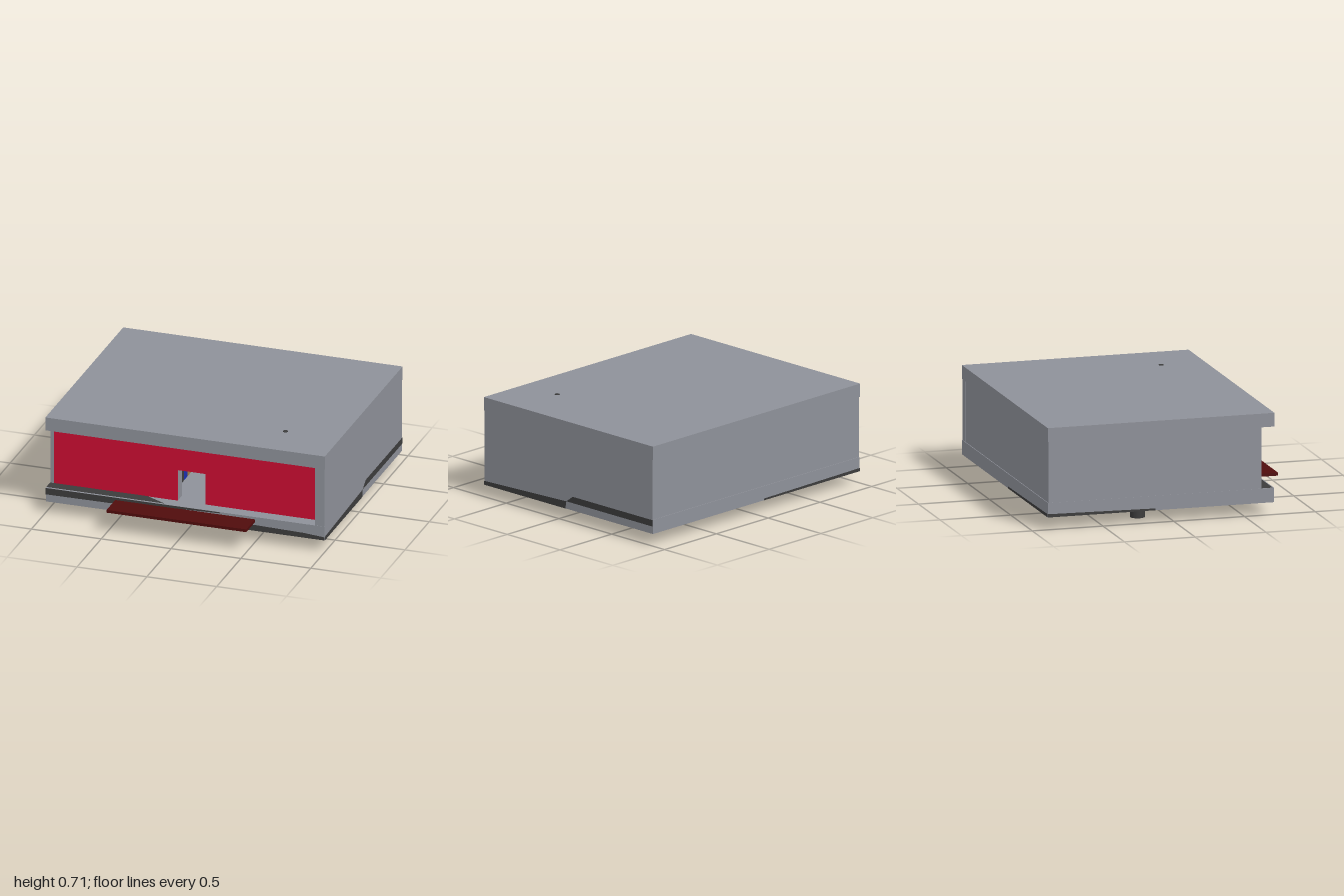
import * as THREE from 'three';

const mat = (name, color, side = THREE.FrontSide) => {
  const m = new THREE.MeshStandardMaterial({ color, side });
  m.name = name;
  return m;
};

export function createModel() {
  const grey = mat('wall grey', 0x8e9199);
  const red = mat('facade red', 0xcb0d32);
  const maroon = mat('step maroon', 0x500c0c);
  const dark = mat('charcoal', 0x3c3c3c);
  const blue = mat('board blue', 0x1a2fb0);
  const tan = mat('board tan', 0xa07b45);

  const model = new THREE.Group();
  model.name = 'building';

  // Box given by its limits on each axis
  const box = (name, m, [x0, x1], [y0, y1], [z0, z1], parent = model) => {
    const mesh = new THREE.Mesh(new THREE.BoxGeometry(x1 - x0, y1 - y0, z1 - z0), m);
    mesh.position.set((x0 + x1) / 2, (y0 + y1) / 2, (z0 + z1) / 2);
    mesh.name = name;
    parent.add(mesh);
    return mesh;
  };

  // Shell: floor slab, roof slab and walls around a hollow room
  box('floorSlab', grey, [-0.998, 0.998], [0.085, 0.185], [-0.888, 0.71]);
  box('roofSlab', grey, [-1, 1], [0.61, 0.705], [-0.89, 0.712]);
  box('rightWall', grey, [0.93, 0.998], [0.185, 0.61], [-0.885, 0.708]);
  box('leftWall', grey, [-0.996, -0.97], [0.185, 0.61], [-0.885, 0.62]);
  box('backWall', grey, [-0.97, 0.93], [0.185, 0.61], [-0.883, -0.82]);

  // Front wall with a doorway, faced in red
  const facade = [
    ['Left', [-0.97, -0.085], [0.185, 0.61]],
    ['Right', [0.115, 0.93], [0.185, 0.61]],
    ['Lintel', [-0.085, 0.115], [0.41, 0.61]],
  ];
  for (const [part, xs, ys] of facade) {
    box('frontWall' + part, grey, xs, ys, [0.53, 0.612]);
    box('facadeFace' + part, red, xs, ys, [0.612, 0.62]);
  }

  // Entrance step
  box('entranceStep', maroon, [-0.5, 0.5], [0.148, 0.168], [0.70, 0.89]);

  // Dark painted patches on the floor slab
  const patch = (name, pts, pos, rot) => {
    const shape = new THREE.Shape(pts.map(p => new THREE.Vector2(...p)));
    const mesh = new THREE.Mesh(new THREE.ShapeGeometry(shape), dark);
    mesh.position.set(...pos);
    mesh.rotation.set(...rot);
    mesh.name = name;
    model.add(mesh);
  };
  const H = Math.PI / 2;
  patch('frontUpperBand', [[-0.998, 0.138], [-0.55, 0.14], [-0.15, 0.165], [0.25, 0.178], [0.25, 0.185], [-0.998, 0.185]],
    [0, 0, 0.713], [0, 0, 0]);
  patch('frontLowerBand', [[0.03, 0.085], [0.998, 0.085], [0.998, 0.108], [0.85, 0.12], [0.03, 0.138]],
    [0, 0, 0.713], [0, 0, 0]);
  patch('rightUpperBand', [[0.07, 0.138], [0.888, 0.138], [0.888, 0.183], [0.13, 0.183]],
    [1, 0, 0], [0, H, 0]);
  patch('rightLowerBand', [[-0.71, 0.085], [0.06, 0.085], [0.07, 0.138], [-0.71, 0.112]],
    [1, 0, 0], [0, H, 0]);
  patch('backLowerBand', [[0.07, 0.085], [0.998, 0.085], [0.998, 0.108], [0.07, 0.098]],
    [0, 0, -0.89], [0, Math.PI, 0]);
  patch('leftLowerBand', [[-0.888, 0.085], [-0.13, 0.085], [-0.13, 0.098], [-0.888, 0.108]],
    [-1, 0, 0], [0, -H, 0]);
  patch('undersideFront', [[0.03, 0.71], [0.03, -0.02], [0.998, -0.07], [0.998, 0.71]],
    [0, 0.083, 0], [H, 0, 0]);
  patch('undersideBack', [[-0.998, -0.888], [-0.07, -0.888], [0.03, -0.02], [-0.3, -0.05], [-0.998, -0.13]],
    [0, 0.083, 0], [H, 0, 0]);
  // Dark top of the floor along the front left edge
  patch('floorTopPatch', [[-0.998, -0.70], [-0.15, -0.70], [-0.3, -0.62], [-0.998, -0.62]],
    [0, 0.187, 0], [-H, 0, 0]);

  // Round feet
  for (const [x, z] of [[-0.88, -0.22], [-0.15, 0.49], [0.17, 0.49]]) {
    const foot = new THREE.Mesh(new THREE.CylinderGeometry(0.05, 0.05, 0.07, 24), dark);
    foot.position.set(x, 0.055, z);
    foot.name = 'foot';
    model.add(foot);
  }

  // Thin upright boards with coloured bands, passing through the floor
  const bands = [
    [0, 0.08, dark], [0.08, 0.155, blue], [0.155, 0.225, tan], [0.225, 0.32, grey],
    [0.32, 0.35, red], [0.35, 0.405, tan],
  ];
  for (const x of [-0.43, -0.16, 0.11]) {
    for (const front of [0.365, -0.275]) {
      const board = new THREE.Group();
      board.name = 'bandedBoard';
      for (const [a, b, m] of bands) {
        box('band', m, [x - 0.004, x + 0.004], [0, 0.45], [front - b, front - a], board);
      }
      model.add(board);
    }
  }

  // Small stud breaking through the roof
  const stud = new THREE.Mesh(new THREE.CylinderGeometry(0.018, 0.018, 0.03, 8), dark);
  stud.position.set(0.61, 0.693, 0.4);
  stud.name = 'roofStud';
  model.add(stud);

  return model;
}
